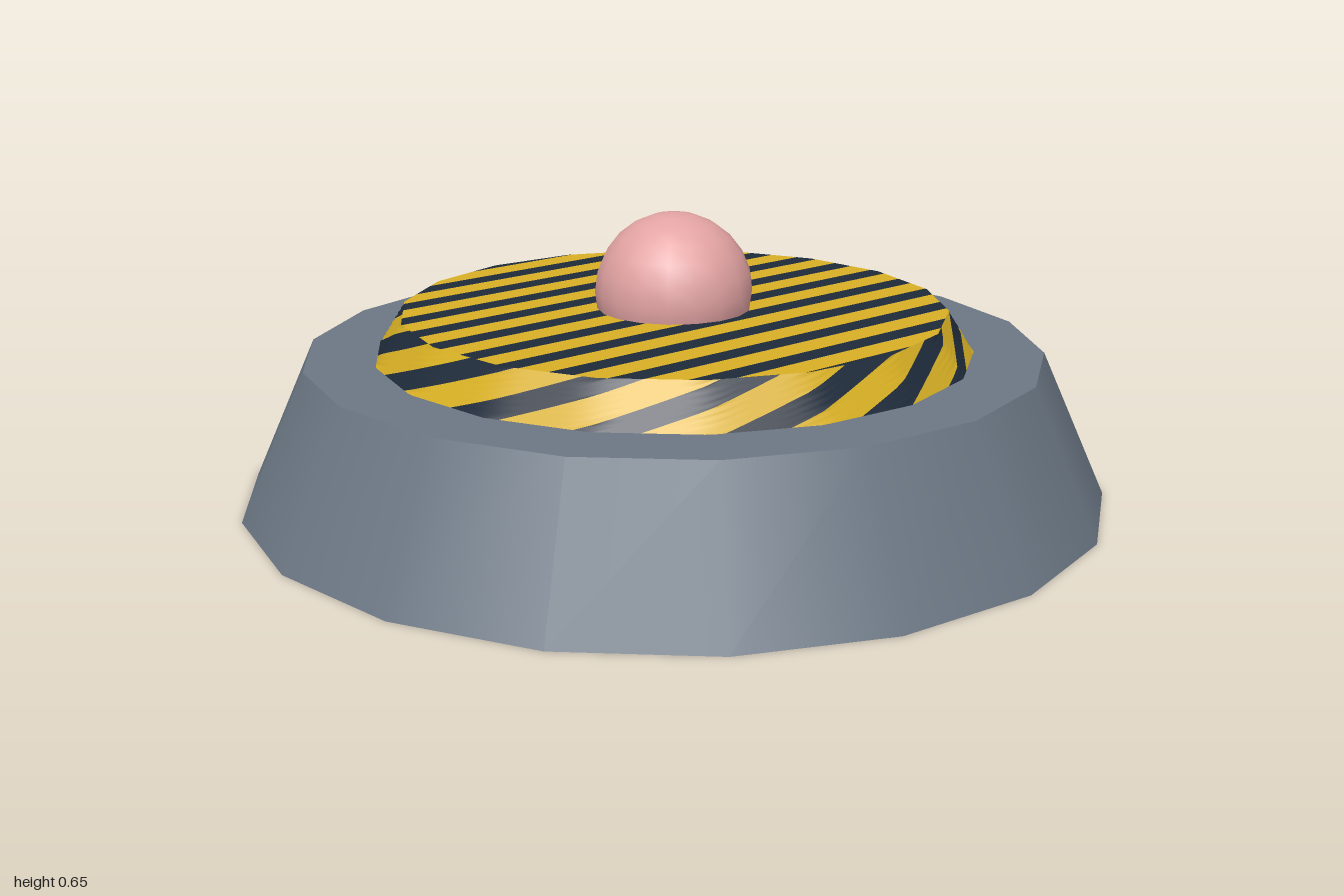
import * as THREE from 'three';

const SIDES = 18;
const Y0 = 0.335, Y1 = 0.43, R0 = 0.69, R1 = 0.63;

const mat = (name, color) => {
  const m = new THREE.MeshStandardMaterial({ color });
  m.name = name;
  return m;
};

// Point on an 18-sided ring, corner at a = 0 facing +z
function ringPoint(a, r, y) {
  const step = (2 * Math.PI) / SIDES;
  const local = (((a % step) + step) % step) - step / 2;
  const d = (r * Math.cos(step / 2)) / Math.cos(local);
  return [d * Math.sin(a), y, d * Math.cos(a)];
}

function indexed(positions, index) {
  const g = new THREE.BufferGeometry();
  g.setAttribute('position', new THREE.Float32BufferAttribute(positions, 3));
  g.setIndex(index);
  g.computeVertexNormals();
  return g;
}

// Slanted band on the sloping rim of the plate
function rimBand(start, width, lean) {
  const nu = 8, nt = 8, pos = [], idx = [];
  for (let j = 0; j <= nt; j++) {
    const t = j / nt;
    for (let i = 0; i <= nu; i++) {
      const a = start + (width * i) / nu + lean * t;
      pos.push(...ringPoint(a, R0 + (R1 - R0) * t, Y0 + (Y1 - Y0) * t));
    }
  }
  for (let j = 0; j < nt; j++) {
    for (let i = 0; i < nu; i++) {
      const p = j * (nu + 1) + i, q = p + nu + 1;
      idx.push(p, p + 1, q + 1, p, q + 1, q);
    }
  }
  return indexed(pos, idx);
}

// Keep the part of a polygon where f >= 0
function clip(poly, f) {
  const out = [];
  poly.forEach((p, i) => {
    const q = poly[(i + 1) % poly.length], a = f(p), b = f(q);
    if (a >= 0) out.push(p);
    if (a * b < 0) out.push(p.map((c, k) => c + ((q[k] - c) * a) / (a - b)));
  });
  return out;
}

// Flat stripe across the top of the plate, between two parallel lines
function topStripe(lo, hi) {
  const across = (p) => p[2] - 0.085 * p[0];
  let poly = [];
  for (let i = 0; i < SIDES; i++) poly.push(ringPoint((i * 2 * Math.PI) / SIDES, R1, Y1));
  poly = clip(poly, (p) => across(p) - lo);
  poly = clip(poly, (p) => hi - across(p));
  if (poly.length < 3) return null;
  const idx = [];
  for (let i = 1; i < poly.length - 1; i++) idx.push(0, i, i + 1);
  return indexed(poly.flat(), idx);
}

export function createModel() {
  const grey = mat('base grey', 0x6c7885);
  const yellow = mat('warning yellow', 0xd8b024);
  const navy = mat('dark navy', 0x1f2b3b);
  const pink = mat('button pink', 0xe3a3a3);

  const model = new THREE.Group();
  model.name = 'buttonPad';
  const add = (parent, name, geometry, material) => {
    const mesh = new THREE.Mesh(geometry, material);
    mesh.name = name;
    parent.add(mesh);
    return mesh;
  };

  // Wide tapered base
  add(model, 'base', new THREE.CylinderGeometry(0.85, 1, Y0, SIDES), grey).position.y = Y0 / 2;

  // Striped plate: slanted bands on the rim, parallel stripes on top
  const plate = new THREE.Group();
  plate.name = 'stripedPlate';
  model.add(plate);

  const bands = 14, bandStep = (2 * Math.PI) / bands;
  for (let i = 0; i < bands; i++) {
    const a = i * bandStep;
    add(plate, 'rimYellowBand', rimBand(a, bandStep * 0.55, bandStep), yellow);
    add(plate, 'rimDarkBand', rimBand(a + bandStep * 0.55, bandStep * 0.45, bandStep), navy);
  }

  const pitch = 0.115, half = pitch * 0.275;
  for (let i = -6; i <= 6; i++) {
    const c = i * pitch;
    const light = topStripe(c - half, c + half);
    const dark = topStripe(c + half, c + pitch - half);
    if (light) add(plate, 'topYellowStripe', light, yellow);
    if (dark) add(plate, 'topDarkStripe', dark, navy);
  }

  // Round button, sunk into the plate
  add(model, 'button', new THREE.SphereGeometry(0.182, 18, 12), pink).position.y = 0.468;

  return model;
}
